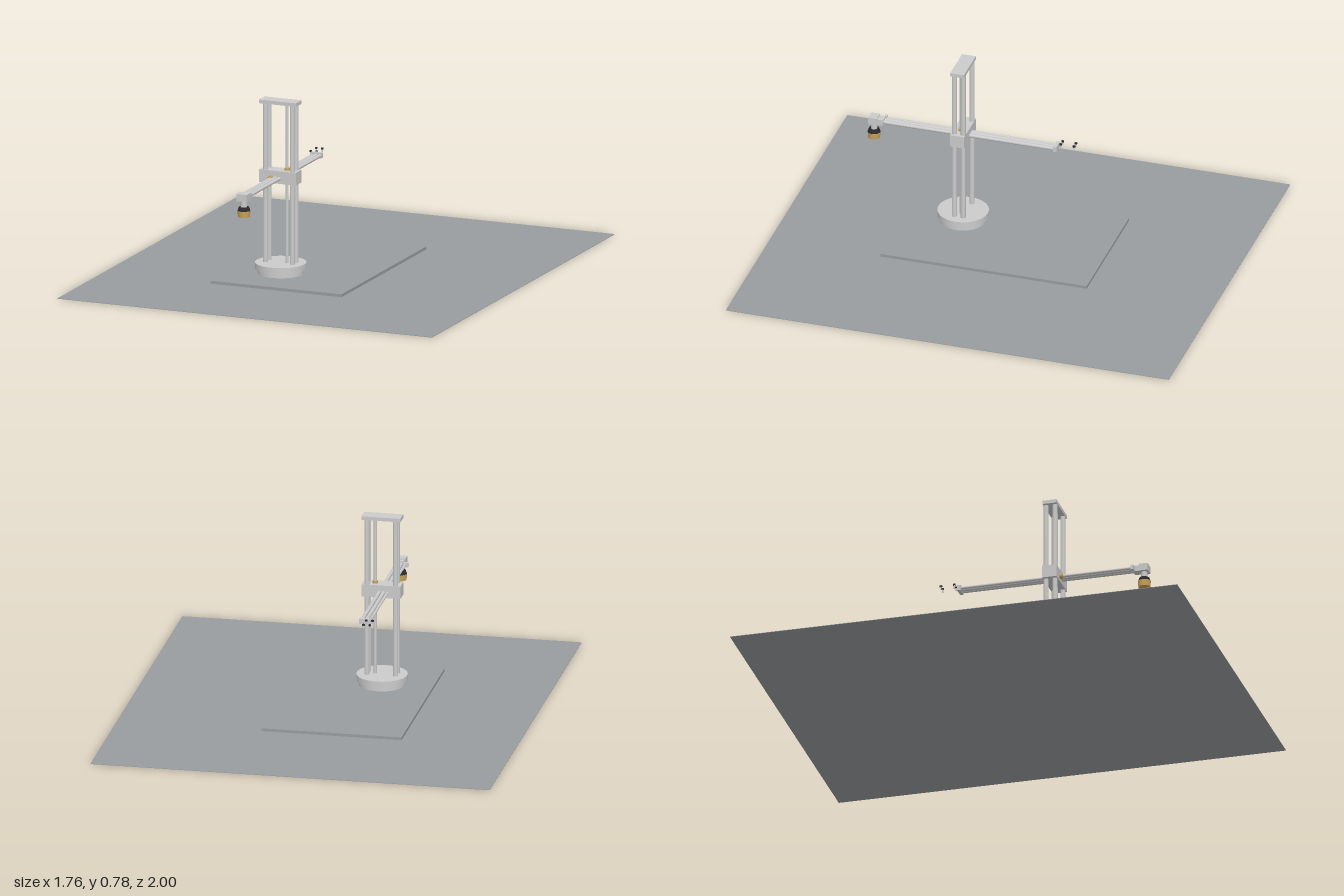
import * as THREE from 'three';

const mat = (color) => new THREE.MeshStandardMaterial({ color });

export function createModel() {
  const root = new THREE.Group();
  root.name = 'armRobot';
  const grey = mat(0xcccccc), slate = mat(0x999c9f), dark = mat(0x2a2a2c), brass = mat(0xc8a35a);
  const cx = -0.152, cz = 0.25;

  const add = (name, geo, m, x, y, z) => {
    const mesh = new THREE.Mesh(geo, m);
    mesh.name = name;
    mesh.position.set(x, y, z);
    root.add(mesh);
    return mesh;
  };
  // box from its lower and upper limits
  const box = (name, m, x0, x1, y0, y1, z0, z1) =>
    add(name, new THREE.BoxGeometry(x1 - x0, y1 - y0, z1 - z0), m, (x0 + x1) / 2, (y0 + y1) / 2, (z0 + z1) / 2);
  // upright cylinder
  const rodY = (name, m, x, z, y0, y1, rTop, rBottom = rTop, n = 32) =>
    add(name, new THREE.CylinderGeometry(rTop, rBottom, y1 - y0, n), m, x, (y0 + y1) / 2, z);
  // cylinder lying front to back
  const rodZ = (name, m, x, y, z0, z1, r) => {
    const rod = add(name, new THREE.CylinderGeometry(r, r, z1 - z0, 24), m, x, y, (z0 + z1) / 2);
    rod.rotation.x = Math.PI / 2;
    return rod;
  };

  // ground sheet and base plate
  box('floor', slate, -0.878, 0.878, 0, 0.002, -1, 1);
  box('basePlate', slate, -0.375, 0.24, 0.002, 0.015, -0.43, 0.5);

  // turntable
  rodY('turntableBase', grey, cx, cz, 0.015, 0.036, 0.1, 0.1, 64);
  rodY('turntable', grey, cx, cz, 0.036, 0.063, 0.111, 0.111, 64);

  // tower: four guide rods, lift screw and top plate
  for (const sx of [-1, 1])
    for (const sz of [-1, 1])
      rodY('guideRod', grey, cx + sx * 0.063, cz + sz * 0.02, 0.063, 0.768, 0.011);
  rodY('liftScrew', grey, -0.122, cz, 0.063, 0.768, 0.007);
  box('topPlate', grey, -0.239, -0.067, 0.767, 0.783, 0.22, 0.282);

  // carriage with its brass nuts
  box('carriage', grey, -0.239, -0.067, 0.418, 0.474, 0.219, 0.283);
  rodY('liftNut', brass, -0.122, cz, 0.474, 0.484, 0.012);
  rodZ('armNut', brass, -0.183, 0.441, 0.283, 0.297, 0.011);

  // horizontal arm: two rods and a drive screw
  for (const x of [-0.164, -0.145]) rodZ('armRod', grey, x, 0.441, -0.165, 0.612, 0.008);
  rodZ('armScrew', grey, -0.181, 0.441, -0.165, 0.606, 0.006);
  box('armEndBlock', grey, -0.188, -0.136, 0.43, 0.454, -0.176, -0.16);
  box('screwBearing', grey, -0.195, -0.173, 0.43, 0.45, 0.602, 0.614);

  // small screws behind the arm end
  for (const x of [-0.198, -0.17])
    for (const z of [-0.185, -0.245]) {
      rodY('screwHead', dark, x, z, 0.449, 0.455, 0.006, 0.006, 12);
      rodY('screwShank', grey, x, z, 0.436, 0.449, 0.003, 0.003, 12);
    }

  // tool head: mount, neck, dark collar and brass cup
  box('headMountRear', grey, -0.174, -0.134, 0.428, 0.454, 0.606, 0.638);
  box('headMount', grey, -0.178, -0.13, 0.427, 0.459, 0.633, 0.673);
  rodY('headNeck', grey, cx, 0.652, 0.398, 0.428, 0.014);
  rodY('headCollar', dark, cx, 0.652, 0.383, 0.4, 0.022, 0.028);
  rodY('headCup', brass, cx, 0.652, 0.356, 0.384, 0.028, 0.026);

  return root;
}
